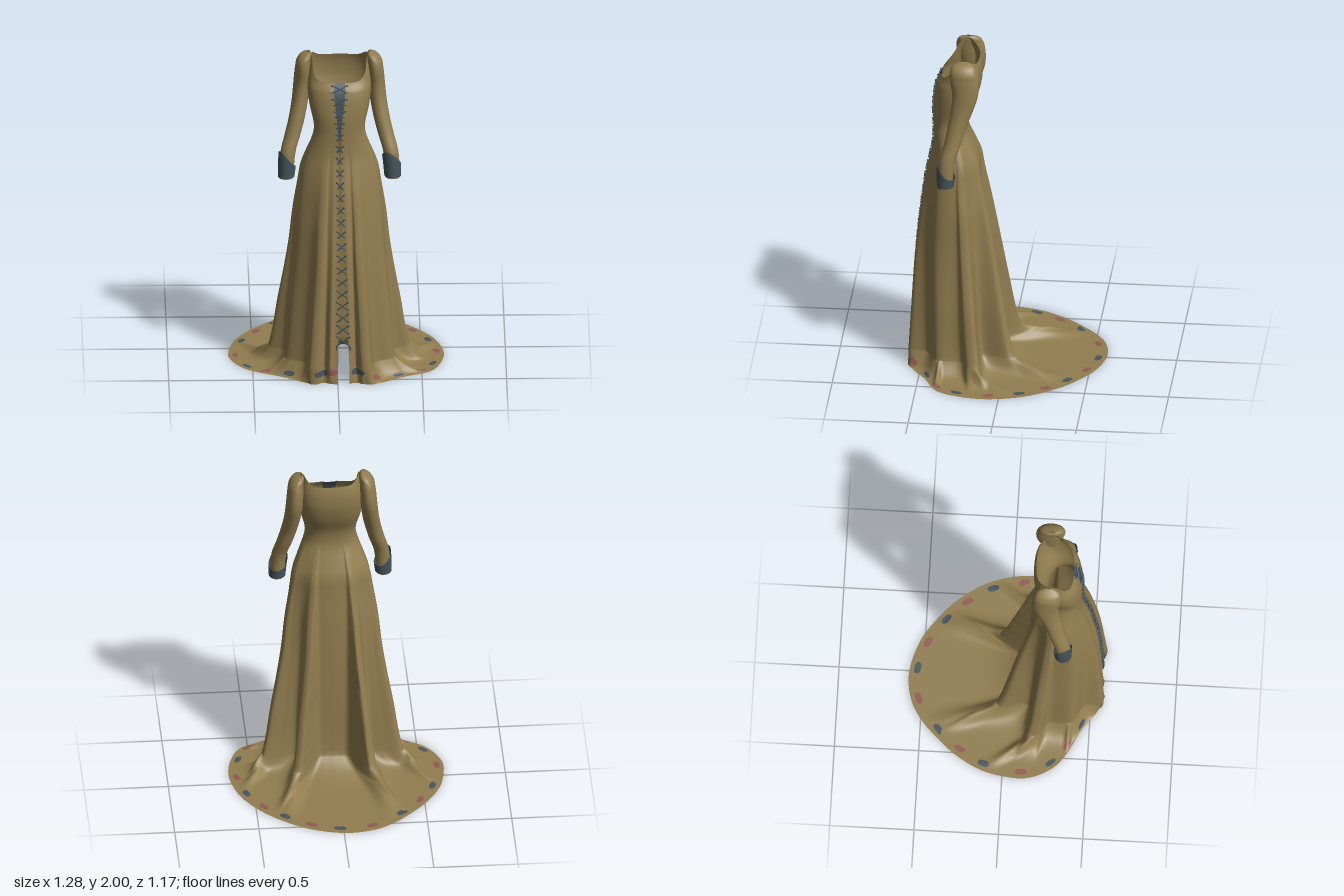
import * as THREE from 'three';
import { mergeVertices } from 'three/addons/utils/BufferGeometryUtils.js';

const CX = 0.013, CZ = 0.28, HX = 0.42, HZ = 0.30; // middle and half sizes of the skirt foot
const lerp = THREE.MathUtils.lerp;
const V = (x, y, z) => new THREE.Vector3(x, y, z);

// smooth lookup in a table whose rows start with an ascending key
function table(rows) {
  const n = rows[0].length - 1;
  const f = new THREE.CubicInterpolant(rows.map(r => r[0]), rows.flatMap(r => r.slice(1)), n);
  return k => Array.from(f.evaluate(THREE.MathUtils.clamp(k, rows[0][0], rows.at(-1)[0])));
}

// smooth surface from a grid of points, rows going up and columns going round
function grid(rows, cols, fn) {
  const pos = [], index = [];
  for (let i = 0; i <= rows; i++) for (let j = 0; j <= cols; j++) pos.push(...fn(i / rows, j / cols, i).toArray());
  for (let i = 0; i < rows; i++) for (let j = 0; j < cols; j++) {
    const a = i * (cols + 1) + j, d = a + cols + 1;
    index.push(a, a + 1, d + 1, a, d + 1, d);
  }
  let g = new THREE.BufferGeometry();
  g.setAttribute('position', new THREE.Float32BufferAttribute(pos, 3));
  g.setIndex(index);
  g = mergeVertices(g, 1e-5);
  g.computeVertexNormals();
  return g;
}

// closed outline turned into radius by angle, angle 0 at the front and growing towards +x
const angleOf = (x, z) => (Math.atan2((x - CX) / HX, (z - CZ) / HZ) + Math.PI * 2) % (Math.PI * 2);
function polar(points) {
  const curve = new THREE.CatmullRomCurve3(points.map(p => V(p[0], 0, p[1])), true);
  const s = curve.getPoints(300).slice(0, 300)
    .map(p => [angleOf(p.x, p.z), Math.hypot((p.x - CX) / HX, (p.z - CZ) / HZ)])
    .sort((a, b) => a[0] - b[0]);
  const all = [[s.at(-1)[0] - Math.PI * 2, s.at(-1)[1]], ...s, [s[0][0] + Math.PI * 2, s[0][1]]];
  return th => {
    th = (th + Math.PI * 4) % (Math.PI * 2);
    let i = 1;
    while (i < all.length - 1 && all[i][0] < th) i++;
    const [a, b] = [all[i - 1], all[i]];
    return lerp(a[1], b[1], (th - a[0]) / (b[0] - a[0] || 1));
  };
}

// deep folds at the foot of the skirt, mirrored
const half = [[.03, .555], [.06, .565], [.095, .525], [.13, .57], [.18, .565], [.21, .46], [.32, .39], [.33, .25],
  [.41, .20], [.41, .14], [.30, .14], [.22, .13], [.245, -.03], [.205, -.055], [.12, .07], [.08, .115], [.04, .12]];
const fold = polar([...half.map(p => [CX + p[0], p[1]]), [CX, .12],
  ...half.slice().reverse().map(p => [CX - p[0], p[1]])]);
// edge of the train on the floor
const hem = polar([[.05, .57], [.11, .55], [.19, .58], [.26, .55], [.395, .46], [.55, .377], [.61, .257], [.635, .085],
  [.59, -.12], [.51, -.26], [.425, -.36], [.345, -.43], [.19, -.53], [-.02, -.585], [-.19, -.56], [-.305, -.495],
  [-.40, -.41], [-.515, -.28], [-.60, -.13], [-.635, .02], [-.635, .155], [-.545, .32], [-.32, .455],
  [-.152, .56], [-.08, .55], [-.03, .57]]);

// height, half width, front z, back z, half width of the front slit
const profile = table([
  [.1, .42, .585, -.02, .035], [.2, .40, .58, 0, .032], [.4, .372, .57, .027, .026], [.6, .338, .56, .053, .02],
  [.8, .308, .545, .08, .015], [1, .287, .52, .11, .011], [1.2, .255, .49, .145, .009], [1.3, .237, .468, .16, .008],
  [1.4, .2, .447, .2, .008], [1.5, .16, .443, .238, .008], [1.55, .15, .443, .238, .009], [1.6, .155, .445, .23, .012],
  [1.7, .178, .44, .185, .024], [1.8, .188, .422, .158, .034], [1.85, .185, .395, .155, .038],
  [1.9, .18, .375, .158, .038], [1.95, .17, .36, .17, .038], [2, .163, .335, .195, .038]]);
const neckline = table([[0, 1.852], [.5, 1.856], [.7, 1.866], [.9, 1.892], [1.05, 1.922], [1.25, 1.965],
  [1.6, 1.995], [2, 1.985], [2.5, 1.955], [3.15, 1.95]]);
const pw = (v, e) => Math.sign(v) * Math.abs(v) ** e;
const squareness = y => 1 - .2 * THREE.MathUtils.smoothstep(y, 1.2, 1.7);
// the slit wanders a little to the left side on its way down
const drift = y => .025 * THREE.MathUtils.clamp(1 - y / 1.4, 0, 1);
const slitAngle = (y, side) => {
  const [hx, , , gap] = profile(Math.min(y, 1.8));
  return side * Math.asin(pw((gap + side * drift(y)) / hx, 1 / squareness(y)));
};
const turn = (u, y) => lerp(slitAngle(y, 1), Math.PI * 2 + slitAngle(y, -1), u);

function bodyPoint(th, y) {
  const [hx, front, back] = profile(y), e = squareness(y);
  const w = THREE.MathUtils.clamp((1.5 - y) / 1.4, 0, 1) ** .9;
  const r = lerp(1, fold(th), w);
  return V(CX + hx * r * pw(Math.sin(th), e), y, (front + back) / 2 + (front - back) / 2 * r * pw(Math.cos(th), e));
}

// train: t = 0 at the skirt foot, 1 at the hem
const trainLength = th => Math.hypot((hem(th) - fold(th)) * HX * Math.sin(th), (hem(th) - fold(th)) * HZ * Math.cos(th));
function trainPoint(th, t) {
  const start = bodyPoint(th, .1), r = Math.max(hem(th), fold(th));
  const end = V(CX + HX * r * Math.sin(th), 0, CZ + HZ * r * Math.cos(th));
  const len = trainLength(th), k = 1 + THREE.MathUtils.clamp(20 * (len - .04), 0, 6);
  const a = Math.min(th, Math.PI * 2 - th);
  let ridge = 0; // creases running from the fold tips towards the hem
  for (const [from, to, h] of [[2.68, 2.83, .054], [1.94, 2.33, .046], [1.18, 1.28, .03]])
    ridge += h * Math.exp(-(((a - lerp(from, to, t)) / .06) ** 2));
  ridge *= Math.sin(Math.PI * Math.min(1, t * 1.08) ** .65) * Math.min(1, len / .15);
  const p = start.lerp(end, t);
  p.y = .002 + .098 * (1 - t) ** k + ridge;
  return p;
}

// sleeve: height, x, half width, z, half depth
const sleeve = table([[1.235, .316, .043, .345, .044], [1.4, .303, .045, .335, .048], [1.5, .275, .047, .306, .05],
  [1.6, .25, .048, .282, .055], [1.7, .232, .049, .254, .065], [1.8, .221, .05, .236, .077],
  [1.9, .213, .048, .243, .085], [1.95, .208, .043, .248, .078], [1.985, .192, .028, .25, .056], [2, .178, .004, .25, .02]]);
function sleevePoint(side, y, a, grow = 0) {
  const [x, rx, z, rz] = sleeve(y);
  return V(CX + side * x + (rx + grow) * Math.sin(a), y, z + (rz + grow) * Math.cos(a));
}

export function createModel() {
  const model = new THREE.Group();
  const mat = (name, color) => Object.assign(new THREE.MeshStandardMaterial({ color, side: THREE.DoubleSide }), { name });
  const gold = mat('olive gold cloth', 0x917d4f);
  const blue = mat('slate blue', 0x46545c);
  const red = mat('faded red', 0x925a53);
  const add = (name, geo, material, parent = model) => {
    const m = new THREE.Mesh(geo, material);
    m.name = name;
    parent.add(m);
    return m;
  };

  // gown: train rows, skirt rows, then rows stretched up to the neckline
  const T = 24, S = 56, N = 10;
  add('gown', grid(T + S + N, 440, (v, u, i) => {
    if (i < T) return trainPoint(turn(u, .1), (1 - i / T) ** 1.3);
    if (i <= T + S) { const y = lerp(.1, 1.8, (i - T) / S); return bodyPoint(turn(u, y), y); }
    const th = turn(u, 1.8), top = neckline(Math.min(th, Math.PI * 2 - th))[0];
    return bodyPoint(th, lerp(1.8, top, (i - T - S) / N));
  }), gold);

  // sleeves with turned-back pointed cuffs
  for (const [name, side, peak] of [['left', 1, -.45], ['right', -1, -1.05]]) {
    add(name + 'Sleeve', grid(44, 28, (v, u) => sleevePoint(side, lerp(1.235, 2, 1 - (1 - v) ** 1.4), u * Math.PI * 2)), gold);
    add(name + 'Cuff', grid(8, 32, (v, u) => {
      const a = u * Math.PI * 2, top = 1.3 + .105 * ((1 + Math.cos(a - peak)) / 2) ** 1.4;
      return sleevePoint(side, lerp(1.243, top, v), a, .006 + .004 * v);
    }), blue);
  }

  // placket behind the laced opening
  add('placket', grid(16, 4, (v, u) => {
    const y = lerp(1.52, 1.85, v), [, front, , gap] = profile(y);
    return V(CX + (u * 2 - 1) * (gap + .004), y, front - .005);
  }), blue);

  // crossed lacing down the front
  const lacing = new THREE.Group();
  lacing.name = 'lacing';
  model.add(lacing);
  const cord = (a, b) => {
    const d = b.clone().sub(a), m = add('lace', new THREE.CylinderGeometry(.004, .004, d.length(), 6), blue, lacing);
    m.position.copy(a).lerp(b, .5);
    m.quaternion.setFromUnitVectors(V(0, 1, 0), d.normalize());
  };
  const knot = new THREE.SphereGeometry(.006, 8, 6);
  const eyelet = (side, y) => {
    const p = bodyPoint(slitAngle(y, side), y);
    return V(p.x + side * .011, y, p.z + .004);
  };
  for (let i = 0; i < 22; i++) {
    const y = .27 + i * .0738, rise = lerp(.03, .02, Math.min(1, i / 6));
    for (const s of [1, -1]) {
      cord(eyelet(-s, y - rise), eyelet(s, y + rise));
      add('eyelet', knot, blue, lacing).position.copy(eyelet(s, y + rise));
    }
  }
  for (const s of [1, -1]) cord(eyelet(s, .24), eyelet(s, .215));

  // oval patches along the hem
  const patch = (x, z, material, inset = .046) => {
    const th = angleOf(x, z), len = Math.hypot(trainLength(th), .1);
    const step = .01, reach = trainPoint(th + step, .9).distanceTo(trainPoint(th - step, .9)) / (2 * step);
    const at = (a, t) => trainPoint(a, THREE.MathUtils.clamp(t, 0, 1));
    add('hemPatch', grid(4, 18, (v, u) => {
      const f = u * Math.PI * 2;
      const a = th + .035 / reach * v * pw(Math.cos(f), .8), t = 1 - (inset + .02 * v * pw(Math.sin(f), .8)) / len;
      const da = at(a + .004, t).sub(at(a - .004, t)), dt = at(a, t - .01).sub(at(a, t + .01));
      return at(a, t).addScaledVector(da.cross(dt).normalize(), .004);
    }), material);
  };
  for (const [x, z, inset] of [[.02, -.545], [.345, -.40], [.545, -.116], [.583, .257], [.36, .45], [.12, .575, .075],
    [-.357, -.39], [-.57, -.12], [-.566, .284], [-.28, .448], [-.1, .57, .065]]) patch(x, z, blue, inset);
  for (const [x, z, inset] of [[.19, -.50], [.453, -.263], [.593, .065], [.515, .38], [.22, .53],
    [-.17, -.51], [-.477, -.263], [-.603, .11], [-.443, .38], [-.037, .575, .075]]) patch(x, z, red, inset);

  return model;
}
